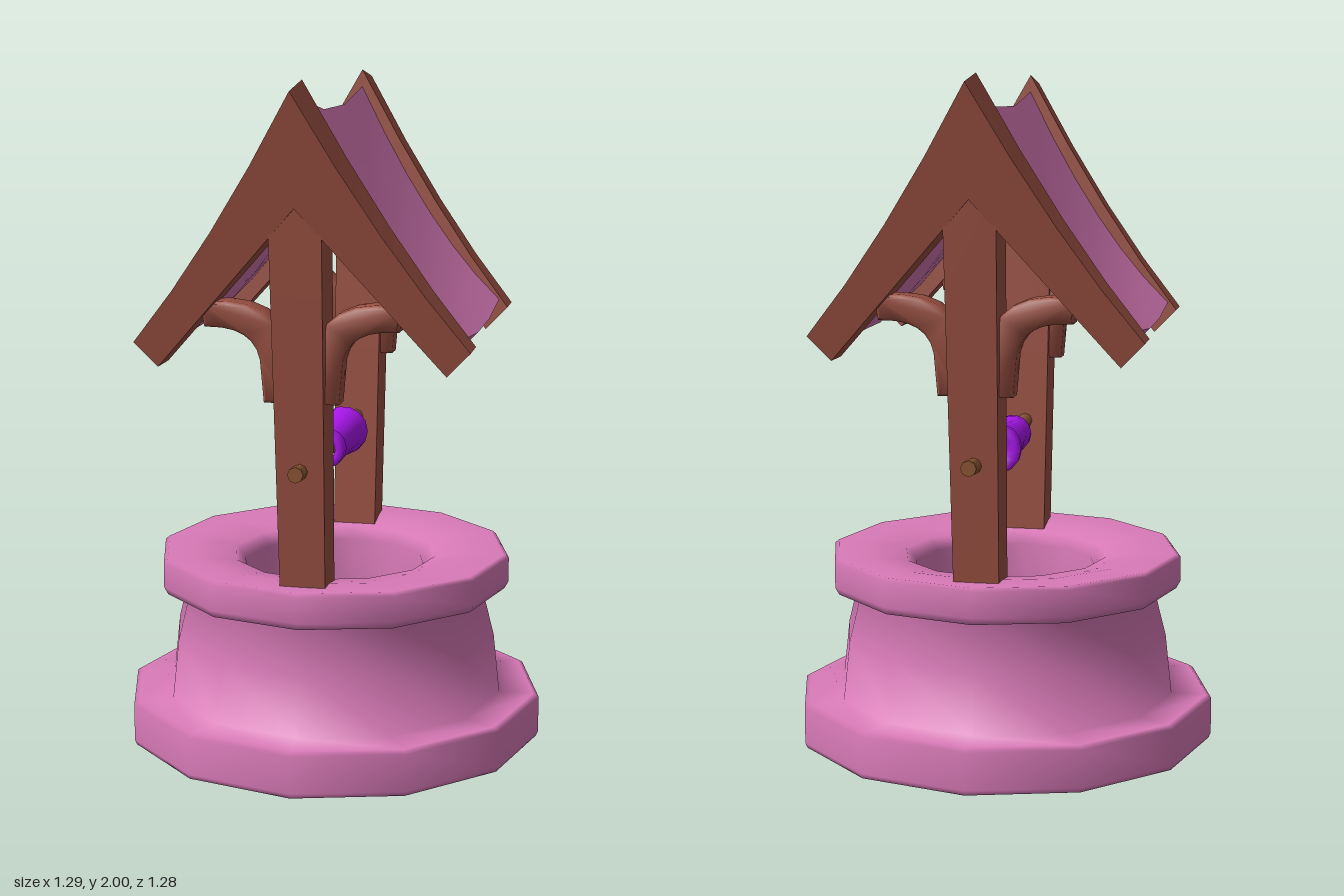
import * as THREE from 'three';
import { toCreasedNormals } from 'three/addons/utils/BufferGeometryUtils.js';

const { lerp } = THREE.MathUtils;
const paint = (color, side = THREE.FrontSide) => new THREE.MeshStandardMaterial({ color, side });
const STONE = paint(0xd97ab8, THREE.DoubleSide);
const WOOD = paint(0x9a5042);
const ROD = paint(0x8a5532);
const SPOOL = paint(0xa816ea);

// Moves every vertex of a geometry by a rule, then rebuilds its normals
function warp(geometry, rule, crease = 0.6) {
  const p = geometry.attributes.position;
  for (let i = 0; i < p.count; i++) {
    p.setXYZ(i, ...rule(p.getX(i), p.getY(i), p.getZ(i)));
  }
  return toCreasedNormals(geometry, crease);
}

function add(parent, name, geometry, material) {
  const mesh = new THREE.Mesh(geometry, material);
  mesh.name = name;
  parent.add(mesh);
  return mesh;
}

const lathe = (points, sides) =>
  new THREE.LatheGeometry(points.map(([r, y]) => new THREE.Vector2(r, y)), sides);

// Twelve-sided open shell: foot ring, wall, rim and the shaft hanging inside
function wellWall() {
  return lathe([
    [0.525, 0.01], [0.63, 0.005], [0.636, 0.02], [0.636, 0.13], [0.62, 0.14],
    [0.515, 0.14], [0.495, 0.32], [0.458, 0.465],
    [0.525, 0.468], [0.537, 0.49], [0.537, 0.565], [0.525, 0.575],
    [0.42, 0.572], [0.31, 0.555], [0.28, 0.52], [0.29, 0.3],
  ], 12);
}

// Sagging gable roof: box z runs from eave to eave over the ridge
function roofSheet() {
  return warp(new THREE.BoxGeometry(2, 1, 2, 3, 1, 12), (a, h, b) => {
    const t = Math.abs(b);
    const under = h < 0 ? 1 : 0;
    const sag = lerp(0.05, 0.028, t) * (1 - a * a);
    return [
      a * lerp(0.45, 0.39, t),
      1.95 - 0.9 * t + 0.245 * t * t - sag - under * lerp(0.06, 0.03, t),
      b * (0.45 - 0.03 * under),
    ];
  }, 0.9);
}

// Pair of rafters meeting at the apex, leaning outward with height
function gableBeam() {
  return warp(new THREE.BoxGeometry(1, 1, 2, 1, 1, 8), (a, h, b) => {
    const t = Math.abs(b);
    const outer = a > 0;
    const y = h > 0
      ? 2 - 0.87 * t + 0.14 * t * t - (outer ? 0.025 * (1 - t) : 0)
      : 1.66 - 0.46 * t;
    const lean = (y - 1.27) / 0.73;
    return [
      outer ? 0.487 + 0.117 * lean : 0.376 + 0.064 * lean,
      y,
      b * (h > 0 ? 0.477 : 0.41),
    ];
  });
}

// Slightly widening post that leans outward
function post() {
  return warp(new THREE.BoxGeometry(1, 1, 1, 1, 4, 1), (x, h, z) => {
    const t = h + 0.5;
    const size = lerp(0.132, 0.15, t);
    return [lerp(0.39, 0.472, t) + x * size, lerp(0.56, 1.7, t), z * size];
  });
}

// Curved bracket between post and rafter
function brace() {
  const s = new THREE.Shape();
  s.moveTo(0.045, 1.115);
  s.lineTo(0.1, 1.115);
  s.lineTo(0.11, 1.23);
  s.quadraticCurveTo(0.13, 1.33, 0.27, 1.325);
  s.lineTo(0.28, 1.38);
  s.quadraticCurveTo(0.06, 1.405, 0.045, 1.24);
  const g = new THREE.ExtrudeGeometry(s, {
    depth: 0.065, curveSegments: 6, bevelSize: 0.008, bevelThickness: 0.01, bevelSegments: 1,
  });
  g.rotateY(-Math.PI / 2).translate(0.462, 0, 0);
  return toCreasedNormals(g, 0.9);
}

export function createModel() {
  const model = new THREE.Group();
  model.name = 'well';
  // The whole well is turned on its vertical axis
  const body = new THREE.Group();
  body.name = 'wellBody';
  body.rotation.y = THREE.MathUtils.degToRad(25.4);
  model.add(body);

  add(body, 'wellWall', wellWall(), STONE);
  add(body, 'roof', roofSheet(), STONE);

  // Two matching end frames
  for (const turn of [0, Math.PI]) {
    const frame = new THREE.Group();
    frame.name = turn ? 'rightFrame' : 'leftFrame';
    frame.rotation.y = turn;
    body.add(frame);
    add(frame, 'gableBeam', gableBeam(), WOOD);
    add(frame, 'post', post(), WOOD);
    const bracket = brace();
    add(frame, 'frontBrace', bracket, WOOD);
    // Half turn about the post axis gives the opposite bracket
    const back = add(frame, 'backBrace', bracket, WOOD);
    back.rotation.y = Math.PI;
    back.position.x = 0.86;
  }

  // Gently bowed axle through both posts
  const rod = new THREE.CylinderGeometry(0.023, 0.023, 1.105, 8, 10).rotateZ(-Math.PI / 2);
  add(body, 'axle', warp(rod, (x, y, z) => [x + 0.008, y + 0.9 + 0.07 * x * x, z], 0.9), ROD);

  // Flared rope spool
  const spool = lathe([
    [0.03, -0.12], [0.03, -0.138], [0.045, -0.144], [0.057, -0.133], [0.058, -0.1],
    [0.05, -0.085], [0.058, 0], [0.064, 0.1], [0.073, 0.118], [0.075, 0.15],
    [0.065, 0.165], [0.035, 0.16], [0.03, 0.14],
  ], 14).rotateZ(-Math.PI / 2).translate(0, 0.904, 0);
  add(body, 'spool', spool, SPOOL);

  return model;
}
